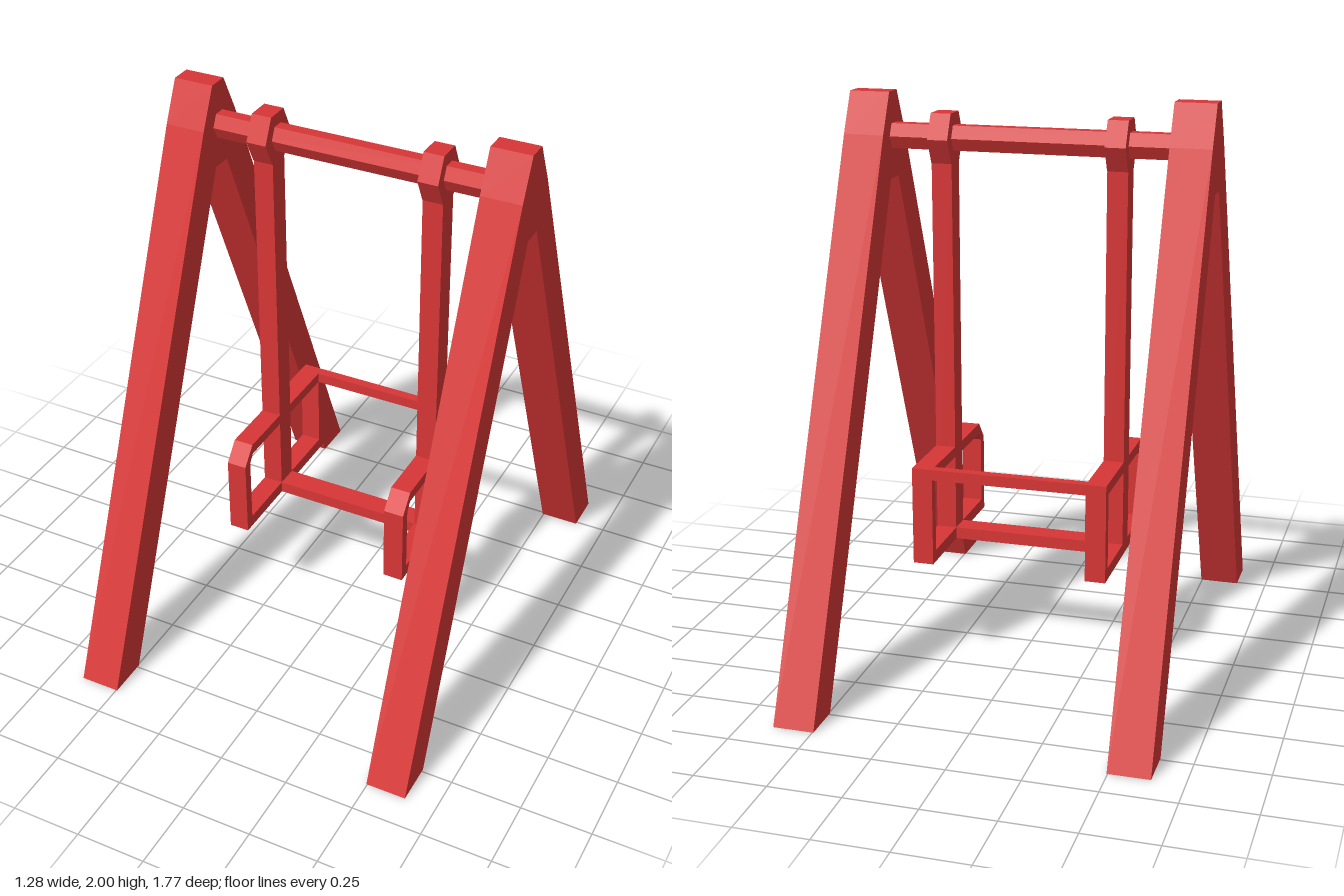
import * as THREE from 'three';

const red = new THREE.MeshStandardMaterial({ color: 0xd83636 });
red.name = 'red paint';

// Extrudes a side profile given as [z, y] points across x, centred on x = 0.
function sideProfile(outer, width, hole) {
  const toPoints = (list) => list.map(([z, y]) => new THREE.Vector2(z, y));
  const shape = new THREE.Shape(toPoints(outer));
  if (hole) shape.holes.push(new THREE.Path(toPoints(hole)));
  const geo = new THREE.ExtrudeGeometry(shape, { depth: width, bevelEnabled: false });
  return geo.translate(0, 0, -width / 2).rotateY(-Math.PI / 2);
}

// Hexagonal prism along x with flat top and bottom.
function hexPrism(halfZ, halfY, width) {
  const points = [];
  for (let i = 0; i < 6; i++) {
    const a = (i * Math.PI) / 3;
    points.push([halfZ * Math.cos(a), (halfY * Math.sin(a)) / Math.sin(Math.PI / 3)]);
  }
  return sideProfile(points, width);
}

export function createModel() {
  const swing = new THREE.Group();
  swing.name = 'swing';
  const add = (name, geo, x = 0, y = 0, z = 0) => {
    const mesh = new THREE.Mesh(geo, red);
    mesh.name = name;
    mesh.position.set(x, y, z);
    swing.add(mesh);
  };

  const barY = 1.848;
  const frameX = 0.568, hangerX = 0.31, hangerW = 0.072;

  // Shared geometries for the mirrored parts
  const aFrame = sideProfile([
    [0.885, 0], [0.105, 1.86], [0.037, 2], [-0.037, 2], [-0.105, 1.86], [-0.885, 0],
    [-0.74, 0], [-0.037, 1.7], [0.037, 1.7], [0.74, 0],
  ], 0.143);
  const armrest = sideProfile(
    [[0.3, 0.39], [0.3, 0.675], [0.245, 0.74], [-0.3, 0.74], [-0.3, 0.39]],
    hangerW,
    [[0.265, 0.432], [-0.265, 0.432], [-0.265, 0.702], [0.243, 0.702], [0.265, 0.672]],
  );
  const hanger = new THREE.BoxGeometry(hangerW, 1.42, 0.08);
  const collar = hexPrism(0.085, 0.086, hangerW);

  for (const [side, s] of [['left', 1], ['right', -1]]) {
    add(side + 'AFrame', aFrame, s * frameX);
    add(side + 'Hanger', hanger, s * hangerX, 1.1);
    add(side + 'Collar', collar, s * hangerX, barY);
    add(side + 'SeatSide', armrest, s * hangerX);
  }

  // Bars running between the sides
  add('topBar', hexPrism(0.042, 0.043, 1.02), 0, barY);
  add('backRail', new THREE.BoxGeometry(0.6, 0.038, 0.035), 0, 0.721, -0.2825);
  add('seatBar', new THREE.BoxGeometry(0.6, 0.042, 0.08), 0, 0.411);

  return swing;
}
